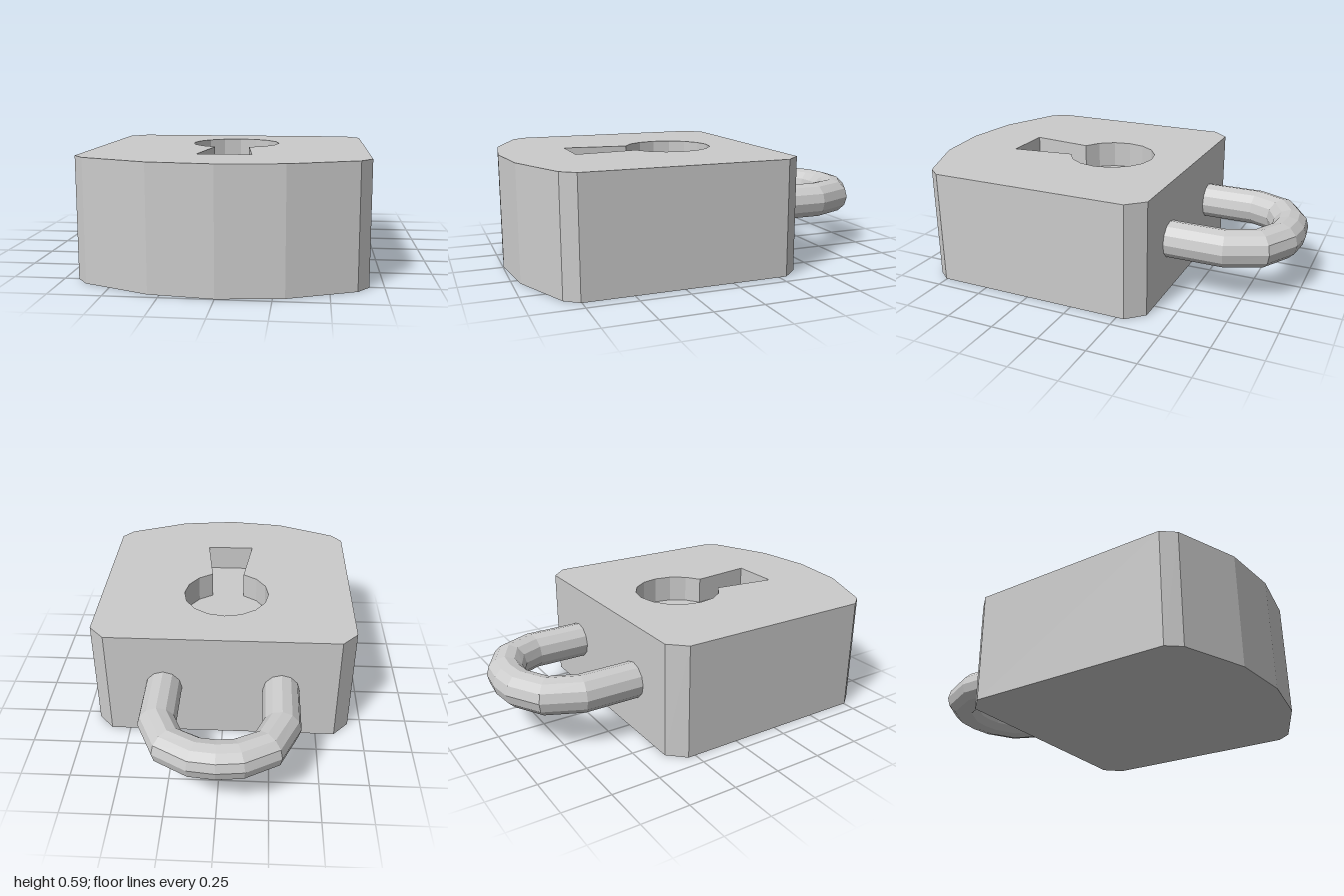
import * as THREE from 'three';
import { mergeGeometries } from 'three/addons/utils/BufferGeometryUtils.js';

const HEIGHT = 0.59, FLOOR = 0.45;
const material = new THREE.MeshStandardMaterial({ color: 0xcccccc, flatShading: true });
const v2 = (x, y) => new THREE.Vector2(x, y);

// Flat-shaded geometry from a list of four-cornered faces
function fromQuads(quads) {
  const points = quads.flatMap(([a, b, c, d]) => [a, b, c, a, c, d]);
  const geo = new THREE.BufferGeometry().setFromPoints(points);
  geo.computeVertexNormals();
  return geo;
}

// Flat cap at a given height; plan coordinates are (x, -z)
function cap(points, y, { hole = null, down = false } = {}) {
  const shape = new THREE.Shape(points.map(p => v2(p.x, down ? -p.y : p.y)));
  if (hole) shape.holes.push(new THREE.Path(hole));
  const geo = new THREE.ShapeGeometry(shape).toNonIndexed();
  geo.deleteAttribute('uv');
  return geo.rotateX(down ? Math.PI / 2 : -Math.PI / 2).translate(0, y, 0);
}

// Upright wall along a closed plan, facing outward when counterclockwise
function wall(points, y0, y1) {
  const at = (p, y) => new THREE.Vector3(p.x, y, -p.y);
  return fromQuads(points.map((a, i) => {
    const b = points[(i + 1) % points.length];
    return [at(a, y0), at(b, y0), at(b, y1), at(a, y1)];
  }));
}

// Plan of the case: right half from front to back, then mirrored
function bodyPlan() {
  const side = [[0.305, 0.96], [0.625, 0.825], [0.68, 0.755], [0.68, -0.29], [0.6, -0.376]];
  const right = side.map(([x, z]) => v2(x, -z));
  const left = side.map(([x, z]) => v2(-x, -z)).reverse();
  return [v2(0, -0.997), ...right, ...left];
}

// Keyhole: a 16-sided circle opening into a flared slot
function keyholePlan() {
  const points = [v2(-0.13, -0.63), v2(0.13, -0.63)];
  for (let i = -3; i <= 11; i++) {
    const a = i * Math.PI / 8;
    points.push(v2(0.23 * Math.cos(a), -0.085 + 0.23 * Math.sin(a)));
  }
  return points;
}

function buildBody() {
  const plan = bodyPlan(), key = keyholePlan();
  const geo = mergeGeometries([
    cap(plan, HEIGHT, { hole: key }),
    cap(plan, 0, { down: true }),
    wall(plan, 0, HEIGHT),
    cap(key, FLOOR),
    wall([...key].reverse(), FLOOR, HEIGHT),
  ]);
  const mesh = new THREE.Mesh(geo, material);
  mesh.name = 'lockBody';
  return mesh;
}

// Shackle: round rings between outer and inner plan points (x, z)
function buildShackle() {
  const sides = 12;
  const half = [
    [0.4, -0.365, 0.21, -0.365],
    [0.4, -0.68, 0.21, -0.65],
    [0.305, -0.887, 0.165, -0.755],
    [0.135, -0.985, 0.065, -0.805],
  ];
  const mirrored = half.map(([ox, oz, ix, iz]) => [-ox, oz, -ix, iz]).reverse();
  const rings = [...half, [0, -1, 0, -0.812], ...mirrored].map(([ox, oz, ix, iz]) =>
    Array.from({ length: sides }, (_, j) => {
      const a = j / sides * Math.PI * 2, c = Math.cos(a) / 2;
      return new THREE.Vector3(
        (ox + ix) / 2 + (ox - ix) * c,
        0.29 + 0.095 * Math.sin(a),
        (oz + iz) / 2 + (oz - iz) * c);
    }));
  const quads = [];
  for (let i = 0; i < rings.length - 1; i++) {
    for (let j = 0; j < sides; j++) {
      const k = (j + 1) % sides;
      quads.push([rings[i][j], rings[i + 1][j], rings[i + 1][k], rings[i][k]]);
    }
  }
  const mesh = new THREE.Mesh(fromQuads(quads), material);
  mesh.name = 'shackle';
  return mesh;
}

export function createModel() {
  const group = new THREE.Group();
  group.name = 'padlock';
  group.add(buildBody(), buildShackle());
  return group;
}
